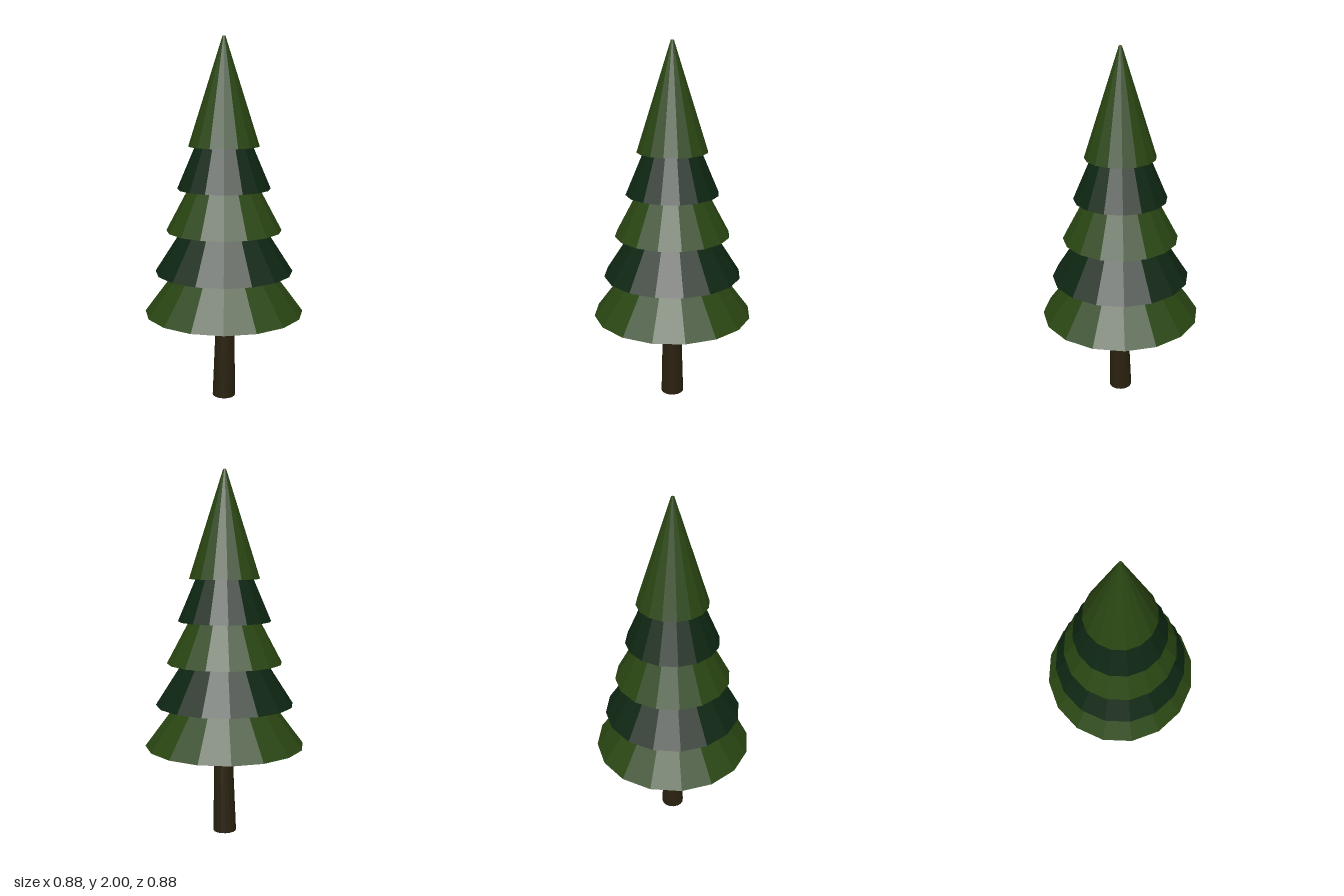
import * as THREE from 'three';

const SIDES = 16;

function material(name, color) {
  const m = new THREE.MeshStandardMaterial({ color, flatShading: true });
  m.name = name;
  return m;
}

export function createModel() {
  const tree = new THREE.Group();
  tree.name = 'pineTree';

  const lightNeedles = material('light green needles', 0x294512);
  const darkNeedles = material('dark green needles', 0x0e2612);
  const bark = material('brown bark', 0x29210f);

  // Five overlapping, closed cones, alternating in colour
  const tierHeight = 0.58;
  const radii = [0.44, 0.38, 0.317, 0.255, 0.193];
  radii.forEach((radius, i) => {
    const geometry = new THREE.CylinderGeometry(0.008, radius, tierHeight, SIDES);
    geometry.translate(0, 0.5 + i * 0.23 + tierHeight / 2, 0);
    const tier = new THREE.Mesh(geometry, i % 2 ? darkNeedles : lightNeedles);
    tier.name = `foliageTier${i + 1}`;
    tree.add(tier);
  });

  // Tapered trunk, leaning slightly towards +x and ending inside the foliage
  const trunkGeometry = new THREE.CylinderGeometry(0.049, 0.064, 0.56, SIDES);
  trunkGeometry.translate(0, 0.28, 0);
  const trunk = new THREE.Mesh(trunkGeometry, bark);
  trunk.name = 'trunk';
  trunk.position.set(-0.001, 0.002, 0);
  trunk.rotation.z = -0.023;
  tree.add(trunk);

  return tree;
}
